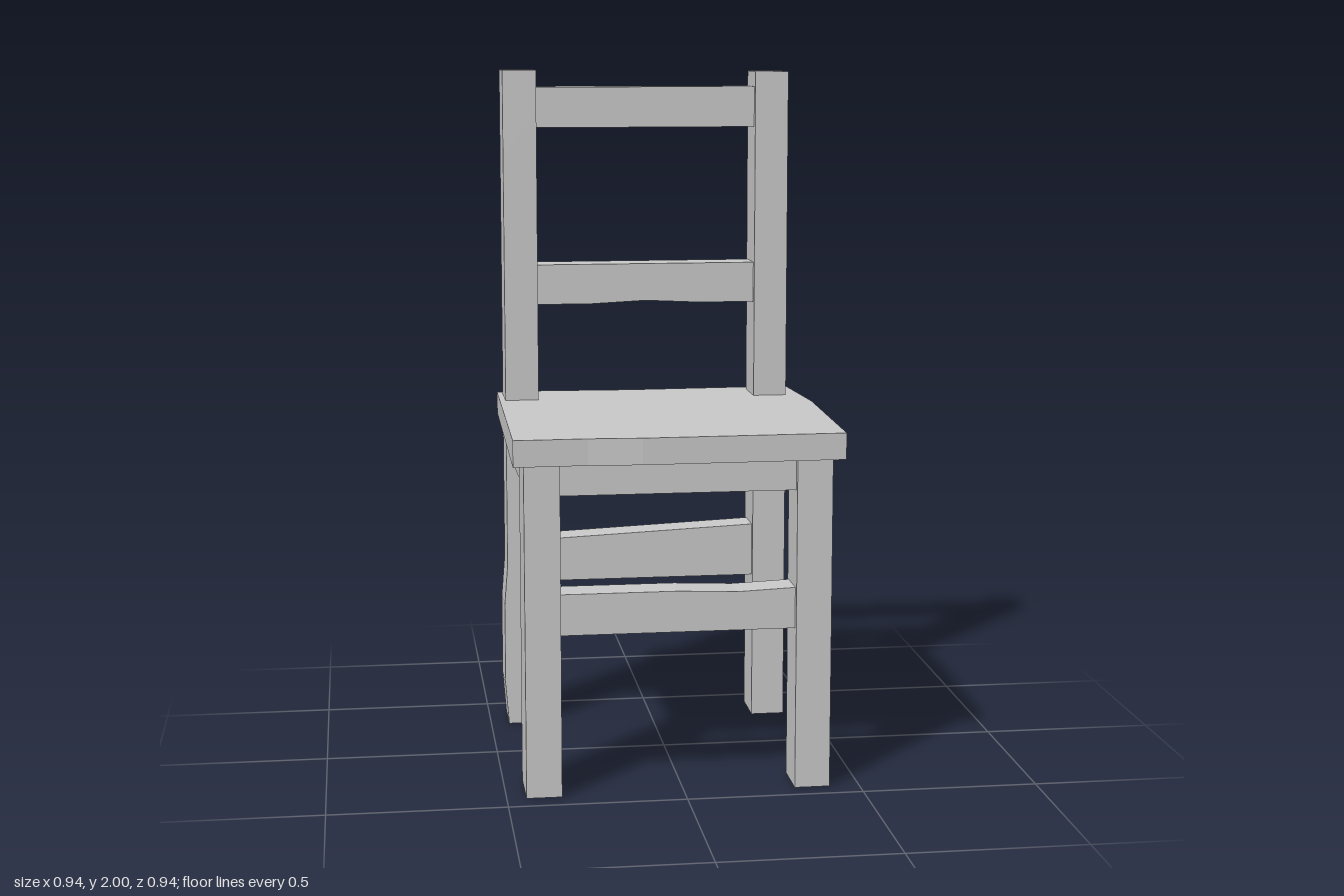
import * as THREE from 'three';

const material = new THREE.MeshStandardMaterial({ color: 0xcccccc, flatShading: true });

// Box between limits, optionally subdivided along its length and bent by a rule.
function block(group, name, [x0, x1], [y0, y1], [z0, z1], segments = [1, 1, 1], bend) {
  const geometry = new THREE.BoxGeometry(x1 - x0, y1 - y0, z1 - z0, ...segments);
  geometry.translate((x0 + x1) / 2, (y0 + y1) / 2, (z0 + z1) / 2);
  if (bend) warp(geometry, bend);
  const mesh = new THREE.Mesh(geometry, material);
  mesh.name = name;
  group.add(mesh);
}

function warp(geometry, rule) {
  const position = geometry.attributes.position;
  const v = new THREE.Vector3();
  for (let i = 0; i < position.count; i++) {
    rule(v.fromBufferAttribute(position, i));
    position.setXYZ(i, v.x, v.y, v.z);
  }
  geometry.computeVertexNormals();
}

export function createModel() {
  const chair = new THREE.Group();
  chair.name = 'chair';

  const rightX = [-0.445, -0.345];
  const leftX = [0.315, 0.415];
  const span = [-0.345, 0.315];
  const backZ = [-0.42, -0.28];
  const railZ = [-0.4, -0.3];
  const frontRailZ = [0.32, 0.42];

  // Back posts, slightly uneven below the seat
  block(chair, 'rightBackPost', rightX, [0, 2], backZ, [1, 16, 1], (v) => {
    if (v.y > 0.1 && v.y < 0.45 && v.x < -0.4) v.x -= 0.01;
    if (v.y < 0.3 && v.z < -0.35) v.z -= 0.005;
  });
  block(chair, 'leftBackPost', leftX, [0, 1.995], backZ);

  // Front legs
  block(chair, 'rightFrontLeg', rightX, [0, 0.95], [0.27, 0.435]);
  block(chair, 'leftFrontLeg', leftX, [0, 0.95], [0.305, 0.44]);

  // Backrest rails
  block(chair, 'topRail', span, [1.83, 1.95], railZ);
  block(chair, 'middleRail', span, [1.3, 1.42], railZ, [4, 1, 1], (v) => {
    if (v.y < 1.35 && Math.abs(v.x) < 0.1) v.y += 0.008;
  });

  // Lower rungs
  block(chair, 'frontRung', span, [0.46, 0.577], frontRailZ, [4, 1, 1], (v) => {
    if (v.y > 0.5 && v.x > 0.1 && v.x < 0.2) v.y -= 0.007;
  });
  block(chair, 'backRung', span, [0.445, 0.575], railZ, [1, 1, 1], (v) => {
    if (v.y > 0.5 && v.x > 0) v.y += 0.03;
  });

  // Aprons under the seat
  block(chair, 'frontApron', span, [0.855, 0.95], frontRailZ);
  block(chair, 'backApron', span, [0.855, 0.95], railZ);
  block(chair, 'rightApron', [-0.43, -0.345], [0.835, 0.95], [-0.28, 0.27], [1, 1, 4], (v) => {
    if (v.y < 0.9 && v.z > 0.1 && v.z < 0.2) v.y += 0.006;
  });
  block(chair, 'leftApron', [0.315, 0.4], [0.853, 0.95], [-0.28, 0.305]);

  // Seat board with an uneven outline
  const outline = [
    [-0.475, 0.46], [-0.27, 0.457], [-0.12, 0.467], [0.448, 0.459], [0.468, -0.14],
    [0.45, -0.47], [-0.04, -0.456], [-0.32, -0.471], [-0.46, -0.461],
  ];
  const shape = new THREE.Shape(outline.map(([x, z]) => new THREE.Vector2(x, -z)));
  const seatGeometry = new THREE.ExtrudeGeometry(shape, { depth: 0.07, bevelEnabled: false });
  seatGeometry.rotateX(-Math.PI / 2).translate(0, 0.945, 0);
  warp(seatGeometry, (v) => {
    if (v.y > 1) v.y += 0.01 * v.z;
  });
  const seat = new THREE.Mesh(seatGeometry, material);
  seat.name = 'seat';
  chair.add(seat);

  return chair;
}
